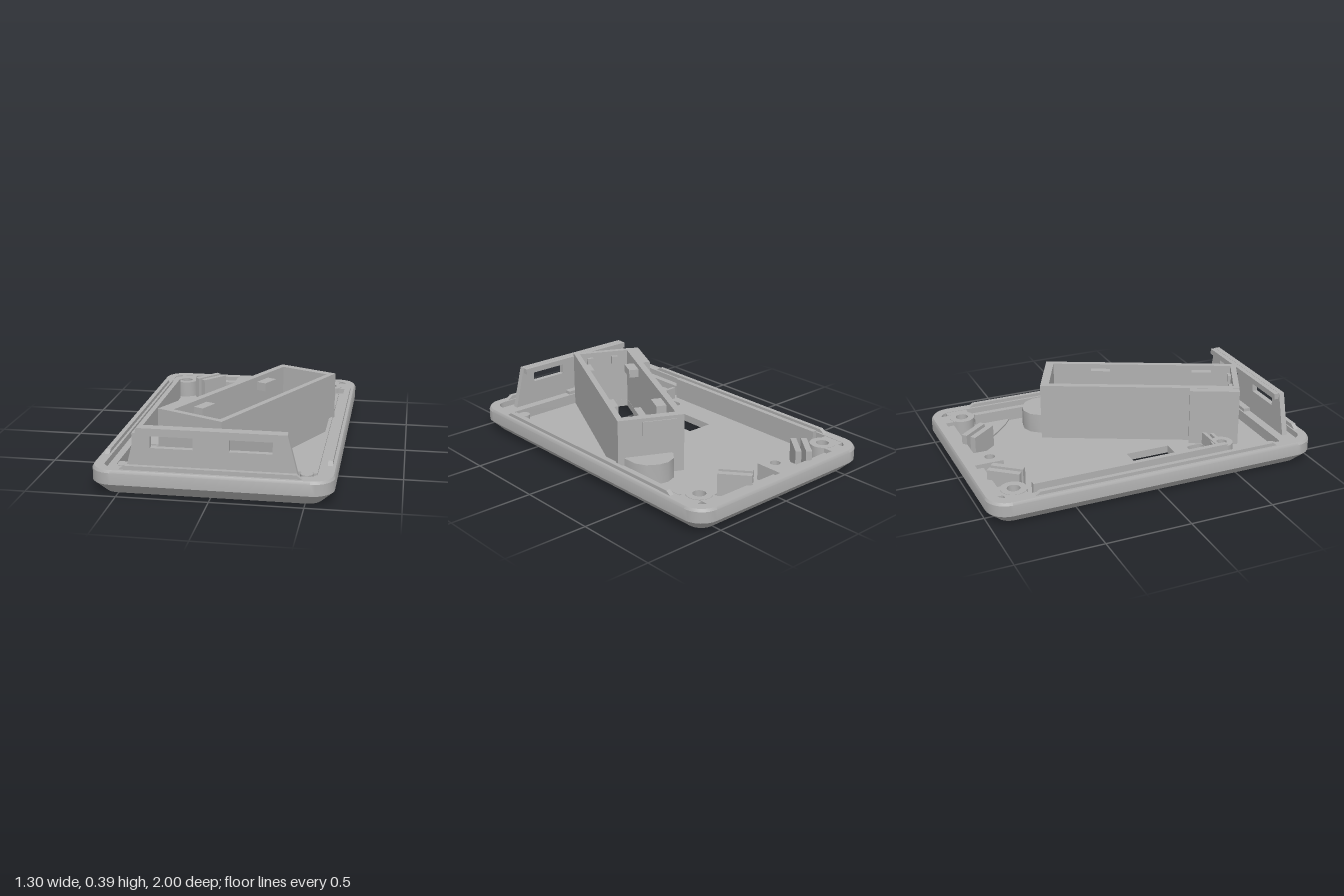
import * as THREE from 'three';
import { toCreasedNormals } from 'three/addons/utils/BufferGeometryUtils.js';

const grey = new THREE.MeshStandardMaterial({ color: 0xb0b0b0 });
grey.name = 'grey plastic';

const ANGLE = -25.7 * Math.PI / 180;          // turn of the battery box
const BOX = { x: 0.12, z: 0.21 };
const FLOOR = 0.045, RIM = 0.145;

function add(parent, name, geometry, x = 0, y = 0, z = 0) {
  const mesh = new THREE.Mesh(geometry, grey);
  mesh.name = name;
  mesh.position.set(x, y, z);
  parent.add(mesh);
  return mesh;
}

// Box given by its limits
function block(parent, name, x0, x1, y0, y1, z0, z1) {
  return add(parent, name, new THREE.BoxGeometry(x1 - x0, y1 - y0, z1 - z0),
    (x0 + x1) / 2, (y0 + y1) / 2, (z0 + z1) / 2);
}

// Outlines in the ground plane, as [x, z] points
function roundedRect(x0, x1, z0, z1, r, steps = 8) {
  const pts = [];
  [[x1 - r, z1 - r], [x0 + r, z1 - r], [x0 + r, z0 + r], [x1 - r, z0 + r]].forEach(([cx, cz], q) => {
    for (let i = 0; i <= steps; i++) {
      const a = (q + i / steps) * Math.PI / 2;
      pts.push([cx + r * Math.cos(a), cz + r * Math.sin(a)]);
    }
  });
  return pts;
}
const rect = (x0, x1, z0, z1) => [[x0, z0], [x1, z0], [x1, z1], [x0, z1]];
const circle = (cx, cz, r, n = 24) => Array.from({ length: n }, (_, i) => {
  const a = i / n * Math.PI * 2;
  return [cx + r * Math.cos(a), cz + r * Math.sin(a)];
});
const vectors = (pts) => pts.map(([x, y]) => new THREE.Vector2(x, y));

// Upright slab with holes, from y0 to y1
function slab(parent, name, outline, holes, y0, y1) {
  const shape = new THREE.Shape(vectors(outline));
  holes.forEach((h) => shape.holes.push(new THREE.Path(vectors(h))));
  const geo = new THREE.ExtrudeGeometry(shape, { depth: y1 - y0, bevelEnabled: false });
  geo.rotateX(Math.PI / 2);
  return add(parent, name, toCreasedNormals(geo, 0.6), 0, y1, 0);
}

// Skin through a stack of rounded outlines [halfWidth, back, front, radius, y]
function loft(rings) {
  const pos = [], index = [];
  let n = 0;
  rings.forEach(([hx, z0, z1, r, y]) => {
    const pts = roundedRect(-hx, hx, z0, z1, r);
    n = pts.length;
    pts.forEach(([x, z]) => pos.push(x, y, z));
  });
  for (let i = 0; i < rings.length - 1; i++) {
    for (let j = 0; j < n; j++) {
      const a = i * n + j, b = i * n + (j + 1) % n, c = b + n, d = a + n;
      index.push(a, d, c, a, c, b);
    }
  }
  const geo = new THREE.BufferGeometry();
  geo.setAttribute('position', new THREE.Float32BufferAttribute(pos, 3));
  geo.setIndex(index);
  return toCreasedNormals(geo, 0.5);
}

// Low rail with sloping ends, length along x
function rail(parent, name, half, width, y0, y1) {
  const shape = new THREE.Shape(vectors([[-half, y0], [half, y0], [half - 0.045, y1], [0.045 - half, y1]]));
  const geo = new THREE.ExtrudeGeometry(shape, { depth: width, bevelEnabled: false });
  geo.translate(0, 0, -width / 2);
  return add(parent, name, geo);
}

function buildTray(g) {
  add(g, 'tray shell', loft([
    [0.585, -0.935, 0.935, 0.08, 0],
    [0.65, -1, 1, 0.12, 0.065],
    [0.65, -1, 1, 0.12, 0.13],
    [0.642, -0.992, 0.992, 0.115, RIM],
    [0.585, -0.94, 0.94, 0.06, RIM],
    [0.585, -0.94, 0.94, 0.06, 0.11],
    [0.545, -0.92, 0.83, 0.04, 0.11],
    [0.545, -0.92, 0.83, 0.04, FLOOR - 0.005],
  ]));

  // Floor with battery opening, window, slot and screw holes
  const c = Math.cos(ANGLE), s = Math.sin(ANGLE);
  const opening = rect(-0.145, 0.165, -0.545, 0.56)
    .map(([u, v]) => [BOX.x + u * c + v * s, BOX.z - u * s + v * c]);
  slab(g, 'floor', roundedRect(-0.585, 0.585, -0.935, 0.935, 0.08), [
    opening,
    rect(-0.36, -0.197, -0.02, 0.25),
    roundedRect(-0.465, -0.25, 0.345, 0.45, 0.03, 4),
    circle(-0.495, -0.825, 0.055), circle(0.49, -0.825, 0.055),
  ], 0, FLOOR);

  // Raised rails on the rim
  for (const side of [-1, 1]) {
    rail(g, 'side rail', 0.76, 0.026, 0.135, 0.165).rotation.y = Math.PI / 2;
    g.children.at(-1).position.x = side * 0.612;
  }
  rail(g, 'front rail', 0.5, 0.026, 0.135, 0.168).position.z = 0.962;
  block(g, 'inner side wall', -0.55, -0.52, FLOOR, 0.176, -0.73, 0.46);
  block(g, 'inner side ledge', 0.53, 0.55, FLOOR, 0.12, -0.73, 0.8);
}

function buildFittings(g) {
  // Corner screw bosses
  for (const x of [-0.495, 0.49]) {
    const sgn = Math.sign(x);
    slab(g, 'screw boss', circle(x, -0.825, 0.075), [circle(x, -0.825, 0.037)], FLOOR - 0.01, RIM);
    block(g, 'boss web', Math.min(sgn * 0.545, sgn * 0.59), Math.max(sgn * 0.545, sgn * 0.59),
      FLOOR, RIM - 0.002, -0.9, -0.77);
    block(g, 'boss back web', x - 0.05, x + 0.05, FLOOR, RIM - 0.002, -0.945, -0.88);
  }
  slab(g, 'back block', rect(-0.16, -0.01, -0.945, -0.77), [circle(-0.088, -0.83, 0.03)], FLOOR, RIM - 0.001);

  // Back wall lips between the bosses
  block(g, 'back lip', -0.44, -0.16, FLOOR, 0.12, -0.945, -0.89);
  block(g, 'back lip', -0.01, 0.44, FLOOR, 0.12, -0.945, -0.89);

  // Paired slanting clips
  for (const [x, turn] of [[-0.325, -1], [0.205, 1]]) {
    const clip = new THREE.Group();
    clip.name = 'slanting clip';
    clip.position.set(x, 0, -0.81);
    clip.rotation.y = turn * 0.68;
    for (const dx of [-0.03, 0.03]) block(clip, 'clip wall', dx - 0.017, dx + 0.017, FLOOR, 0.178, -0.095, 0.095);
    g.add(clip);
  }

  // Slot wall, posts and small ribs on the floor
  block(g, 'slot wall', -0.5, -0.23, FLOOR, 0.12, 0.452, 0.472);
  slab(g, 'slot post', circle(-0.4, 0.505, 0.065), [circle(-0.4, 0.505, 0.03)], FLOOR, 0.115);
  block(g, 'post web', -0.34, -0.26, FLOOR, 0.115, 0.495, 0.515);
  for (const x of [-0.525, 0.49]) {
    add(g, 'front post', new THREE.CylinderGeometry(0.035, 0.035, 0.06, 20), x, 0.075, 0.77);
  }
  slab(g, 'corner gusset', [[0.38, 0.68], [0.545, 0.68], [0.545, 0.47], [0.48, 0.48]], [], FLOOR, 0.08);
  slab(g, 'back gusset', [[0.25, -0.76], [0.545, -0.76], [0.545, -0.5], [0.46, -0.56]], [], FLOOR, 0.055);
  slab(g, 'rounded stop', [[0.27, -0.34], [0.28, -0.39], [0.32, -0.44], [0.38, -0.46], [0.44, -0.45],
    [0.5, -0.41], [0.53, -0.35], [0.53, -0.26], [0.45, -0.26]], [], FLOOR, 0.165);
}

function buildBatteryBox(g) {
  const box = new THREE.Group();
  box.name = 'battery box';
  box.position.set(BOX.x, 0, BOX.z);
  box.rotation.y = ANGLE;
  g.add(box);
  slab(box, 'battery box walls', rect(-0.185, 0.2, -0.595, 0.595),
    [rect(-0.146, 0.166, -0.546, 0.561)], 0.01, 0.39);

  // Thickened side and end patches
  block(box, 'side patch', -0.23, -0.18, FLOOR, 0.389, 0.3, 0.594);
  block(box, 'end patch', -0.14, 0.06, 0.2, 0.37, -0.601, -0.59);

  // Contact ledge and holding tabs inside
  block(box, 'contact ledge', -0.15, -0.1, 0.005, 0.12, -0.29, 0.22);
  for (const v of [-0.31, 0.32]) block(box, 'left tab', -0.15, -0.085, 0.31, 0.36, v - 0.06, v + 0.06);
  for (const v of [-0.25, 0.38]) block(box, 'right tab', 0.125, 0.17, 0.31, 0.36, v - 0.06, v + 0.06);
  for (const u of [-0.06, 0.1]) block(box, 'end tab', u - 0.02, u + 0.02, 0.31, 0.36, 0.54, 0.565);
}

function buildFrontPanel(g) {
  // Tapered upright panel with two windows
  const shape = new THREE.Shape(vectors([[-0.47, 0.1], [0.47, 0.1], [0.452, 0.165], [0.402, 0.36], [-0.402, 0.36], [-0.452, 0.165]]));
  for (const [a, b] of [[-0.328, -0.098], [0.095, 0.325]]) {
    shape.holes.push(new THREE.Path(vectors(rect(a, b, 0.253, 0.318))));
  }
  add(g, 'front panel', new THREE.ExtrudeGeometry(shape, { depth: 0.033, bevelEnabled: false }), 0, 0, 0.882);
  block(g, 'panel top lip', -0.4, 0.4, 0.325, 0.359, 0.852, 0.885);
  block(g, 'panel foot', -0.08, 0.08, 0.1, 0.13, 0.84, 0.885);
}

export function createModel() {
  const model = new THREE.Group();
  model.name = 'device case half';
  buildTray(model);
  buildFittings(model);
  buildBatteryBox(model);
  buildFrontPanel(model);
  return model;
}
